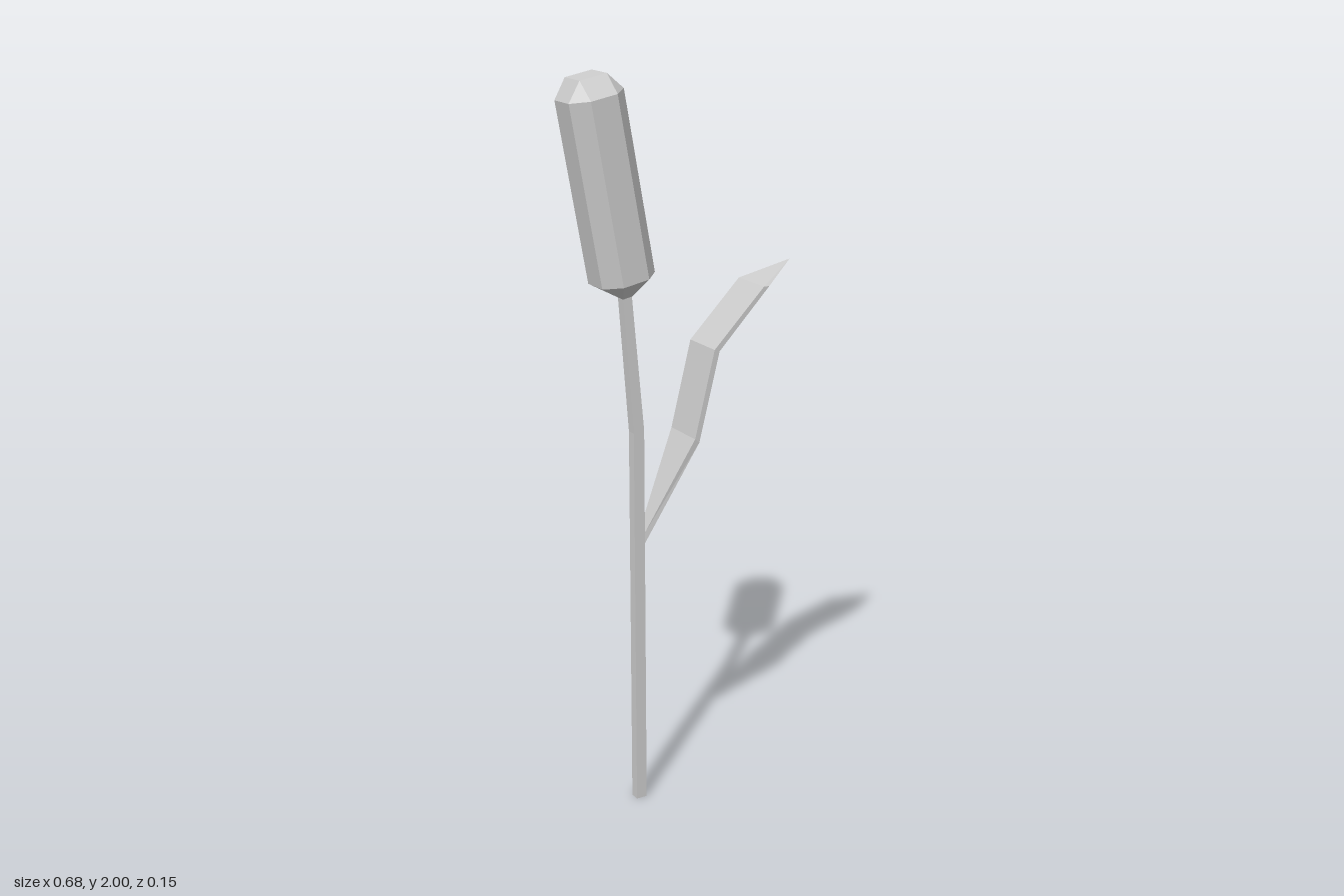
import * as THREE from 'three';

const material = new THREE.MeshStandardMaterial({ color: 0xcccccc, flatShading: true });

// Skin a stack of equal-length rings of Vector3 and close both ends.
// Faces with no area (where points coincide) are left out.
function loft(name, rings) {
  const positions = [];
  const area = new THREE.Triangle();
  const tri = (a, b, c) => {
    if (area.set(a, b, c).getArea() > 1e-8) positions.push(...a, ...b, ...c);
  };
  const n = rings[0].length;
  for (let k = 0; k + 1 < rings.length; k++) {
    const lo = rings[k], up = rings[k + 1];
    for (let i = 0; i < n; i++) {
      const j = (i + 1) % n;
      tri(lo[j], lo[i], up[i]);
      tri(lo[j], up[i], up[j]);
    }
  }
  const first = rings[0], last = rings[rings.length - 1];
  for (let i = 1; i + 1 < n; i++) {
    tri(first[0], first[i], first[i + 1]);
    tri(last[0], last[i + 1], last[i]);
  }
  const geometry = new THREE.BufferGeometry();
  geometry.setAttribute('position', new THREE.Float32BufferAttribute(positions, 3));
  geometry.computeVertexNormals();
  const mesh = new THREE.Mesh(geometry, material);
  mesh.name = name;
  return mesh;
}

// Four-cornered section between two points of the front outline, given a depth
const section = ([rx, ry], [lx, ly], z, half) => [
  new THREE.Vector3(rx, ry, z + half),
  new THREE.Vector3(lx, ly, z + half),
  new THREE.Vector3(lx, ly, z - half),
  new THREE.Vector3(rx, ry, z - half),
];

// Chamfered square ring: half width a, half length of the flats b (a = b gives a square)
const chamferedRing = (y, a, b) =>
  [[a, b], [b, a], [-b, a], [-a, b], [-a, -b], [-b, -a], [b, -a], [a, -b]]
    .map(([x, z]) => new THREE.Vector3(x, y, z));

export function createModel() {
  const model = new THREE.Group();
  model.name = 'reed';

  // Square stem, bent towards the seed head
  model.add(loft('stem', [
    section([-0.122, 0], [-0.153, 0], -0.003, 0.013),
    section([-0.122, 1.07], [-0.153, 1.066], -0.003, 0.013),
    section([-0.156, 1.436], [-0.182, 1.431], -0.002, 0.013),
  ]));

  // Eight-sided seed head with bevelled ends
  const head = loft('seedHead', [
    chamferedRing(0, 0.013, 0.013),
    chamferedRing(0.052, 0.077, 0.037),
    chamferedRing(0.525, 0.077, 0.037),
    chamferedRing(0.572, 0.038, 0.038),
  ]);
  head.position.set(-0.169, 1.43, -0.001);
  head.rotation.z = THREE.MathUtils.degToRad(10.3);
  model.add(head);

  // Thin folded leaf: lower point, upper point, centre depth, half width
  model.add(loft('leaf', [
    section([-0.124, 0.75], [-0.124, 0.78], -0.004, 0.013),
    section([0.024, 1.022], [0.011, 1.033], -0.014, 0.061),
    section([0.085, 1.262], [0.07, 1.268], -0.014, 0.061),
    section([0.238, 1.418], [0.221, 1.418], -0.014, 0.061),
    section([0.341, 1.468], [0.341, 1.468], -0.012, 0),
  ]));

  return model;
}
